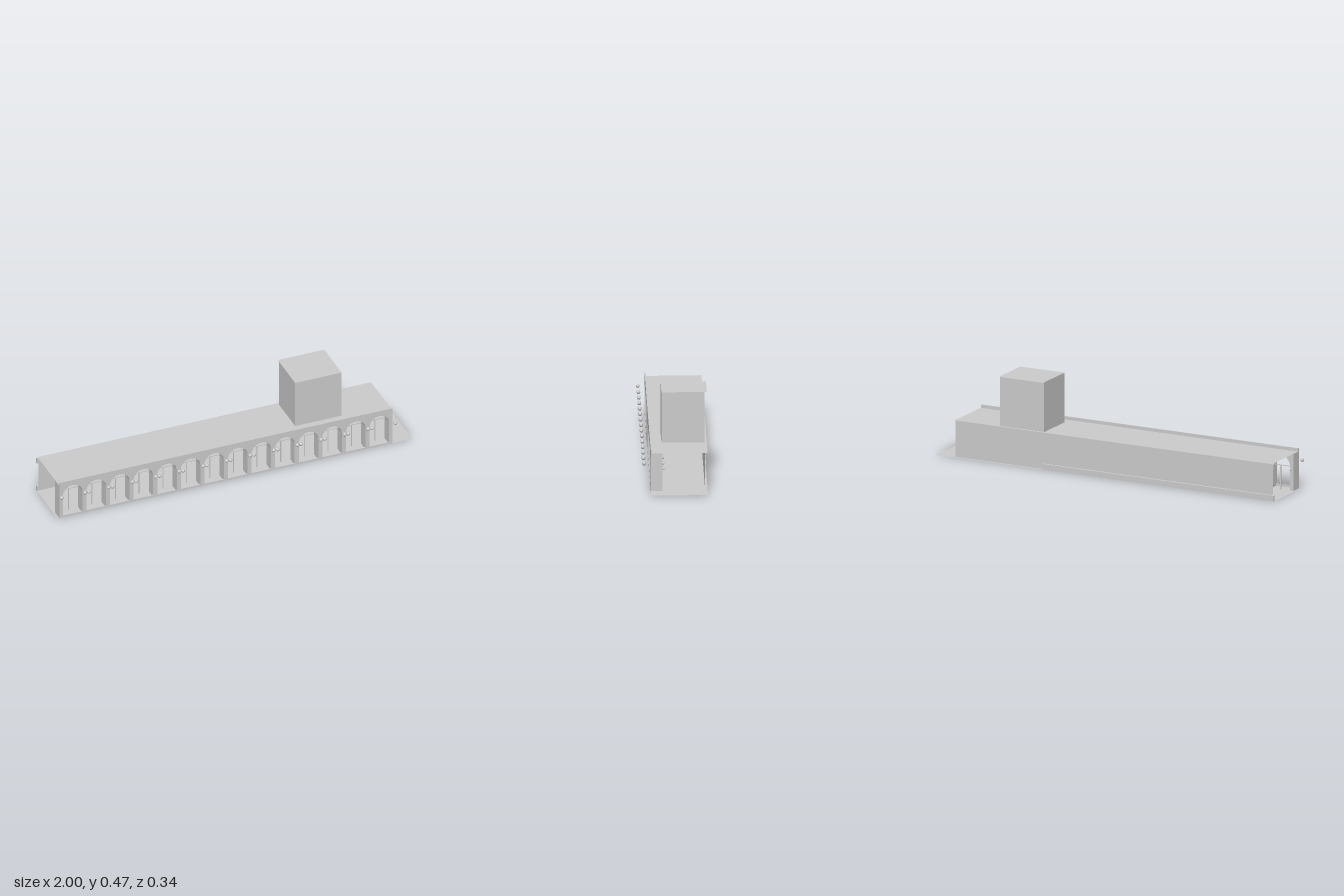
import * as THREE from 'three';

const BAYS = 14, STEP = 0.133, MID = -0.05;
const X0 = -0.99, X1 = 0.89, FRONT = 0.127, INNER = 0.067, BACK = -0.157, EAVE = -0.17;
const ROOF = 0.2, TOWER_TOP = 0.468, T0 = 0.365, T1 = 0.627;
const SPRING = 0.131, R = 0.055;

export function createModel() {
  const model = new THREE.Group();
  const mat = new THREE.MeshStandardMaterial({ color: 0xcccccc, side: THREE.DoubleSide });

  const add = (name, geo, parent = model) => {
    const mesh = new THREE.Mesh(geo, mat);
    mesh.name = name;
    parent.add(mesh);
    return mesh;
  };
  // Box given by its limits on each axis
  const box = (name, xa, xb, ya, yb, za, zb, parent) => {
    const geo = new THREE.BoxGeometry(xb - xa, yb - ya, zb - za);
    geo.translate((xa + xb) / 2, (ya + yb) / 2, (za + zb) / 2);
    return add(name, geo, parent);
  };
  // Thin horizontal sheet
  const slab = (name, xa, xb, za, zb, y) => {
    const geo = new THREE.PlaneGeometry(xb - xa, zb - za).rotateX(-Math.PI / 2);
    geo.translate((xa + xb) / 2, y, (za + zb) / 2);
    return add(name, geo);
  };
  // Thin upright sheet facing +z, or -z when flipped
  const wall = (name, xa, xb, ya, yb, z, flip) => {
    const geo = new THREE.PlaneGeometry(xb - xa, yb - ya);
    if (flip) geo.rotateY(Math.PI);
    geo.translate((xa + xb) / 2, (ya + yb) / 2, z);
    return add(name, geo);
  };

  const centers = Array.from({ length: BAYS }, (_, i) => MID + (i - (BAYS - 1) / 2) * STEP);

  // Arcade: one outline whose lower edge steps up round every arch
  const outline = new THREE.Shape();
  outline.moveTo(X0, 0);
  for (const c of centers) {
    outline.lineTo(c - R, 0);
    outline.lineTo(c - R, SPRING);
    outline.absarc(c, SPRING, R, Math.PI, 0, true);
    outline.lineTo(c + R, 0);
  }
  outline.lineTo(X1, 0);
  outline.lineTo(X1, ROOF);
  outline.lineTo(X0, ROOF);
  outline.closePath();
  const arcade = new THREE.ExtrudeGeometry(outline, {
    depth: FRONT - INNER, bevelEnabled: false, curveSegments: 16,
  });
  add('arcade', arcade.translate(0, 0, INNER));
  box('parapet', X0, X1, ROOF, 0.217, 0.12, FRONT);

  // Floor, roof and rear wall
  slab('floor', -1, 1, EAVE, FRONT, 0);
  slab('roof', X0, X1, EAVE, 0.12, ROOF);
  wall('rearWall', X0, X1, 0, ROOF, BACK, true);
  box('rearBase', -1, T0, 0, 0.03, EAVE, BACK);
  box('rearCornice', -1, T0, 0.17, ROOF, EAVE, BACK);

  // Tower
  wall('towerFront', T0, T1, ROOF, TOWER_TOP, INNER);
  wall('towerBack', T0, T1, ROOF, TOWER_TOP, BACK, true);
  for (const [x, side] of [[T0, -1], [T1, 1]]) {
    const geo = new THREE.PlaneGeometry(INNER - BACK, TOWER_TOP - ROOF);
    geo.rotateY(side * Math.PI / 2);
    geo.translate(x, (ROOF + TOWER_TOP) / 2, (INNER + BACK) / 2);
    add('towerSide', geo);
  }
  slab('towerRoof', T0, T1, EAVE, INNER, TOWER_TOP);

  // Frames, lamps and inner knobs of each bay
  const lampGeo = new THREE.SphereGeometry(0.01, 16, 12);
  const knobGeo = new THREE.SphereGeometry(0.006, 12, 8);
  const stemGeo = new THREE.CylinderGeometry(0.002, 0.002, 0.008, 8).rotateX(Math.PI / 2);
  for (const c of centers) {
    const bay = new THREE.Group();
    bay.name = 'bay';
    model.add(bay);
    box('transom', c - R, c + R, SPRING - 0.002, SPRING + 0.002, INNER, INNER + 0.005, bay);
    box('mullion', c - 0.002, c + 0.002, 0, SPRING, INNER, INNER + 0.005, bay);
    box('sill', c - R, c + R, 0, 0.01, 0.12, FRONT, bay);
    for (const s of [-1, 1]) {
      add('lamp', lampGeo, bay).position.set(c + s * 0.077, 0.146, 0.162);
      add('knob', knobGeo, bay).position.set(c + s * 0.062, 0.116, 0.06);
      add('knobStem', stemGeo, bay).position.set(c + s * 0.062, 0.116, 0.065);
    }
  }
  return model;
}
